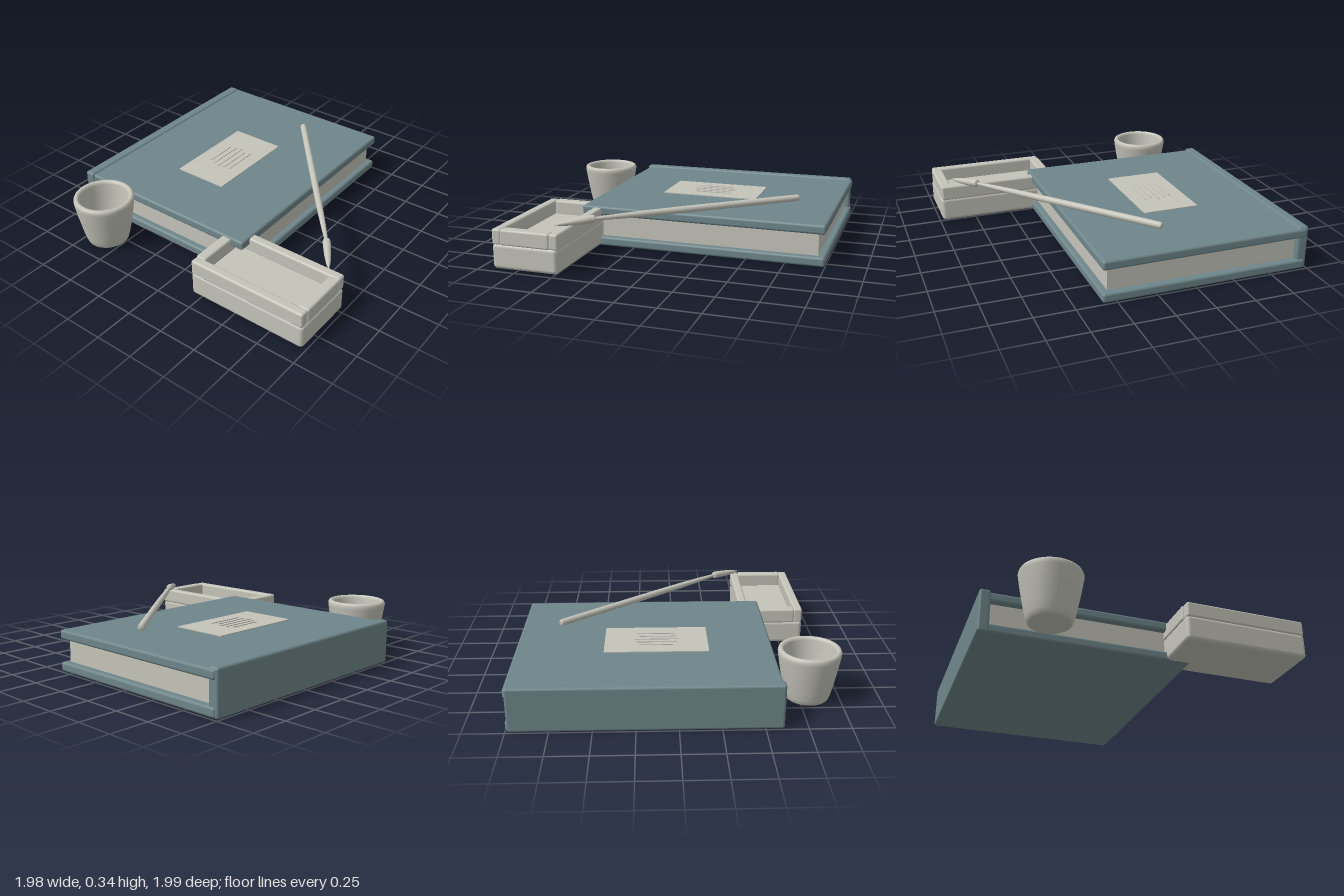
import * as THREE from 'three';
import { RoundedBoxGeometry } from 'three/addons/geometries/RoundedBoxGeometry.js';

export function createModel() {
  const root = new THREE.Group();
  const cover = new THREE.MeshStandardMaterial({ color: 0x6f868a });
  cover.name = 'slate teal';
  const pale = new THREE.MeshStandardMaterial({ color: 0xc4c4ba });
  pale.name = 'warm pale grey';

  function add(parent, name, geometry, material) {
    const mesh = new THREE.Mesh(geometry, material);
    mesh.name = name;
    parent.add(mesh);
    return mesh;
  }

  // Box given by its extents along x, y and z; r > 0 rounds the edges
  function block(parent, name, [x0, x1], [y0, y1], [z0, z1], material, r = 0) {
    const size = [x1 - x0, y1 - y0, z1 - z0];
    const geometry = r ? new RoundedBoxGeometry(...size, 3, r) : new THREE.BoxGeometry(...size);
    const mesh = add(parent, name, geometry, material);
    mesh.position.set((x0 + x1) / 2, (y0 + y1) / 2, (z0 + z1) / 2);
    return mesh;
  }

  function part(name) {
    const group = new THREE.Group();
    group.name = name;
    root.add(group);
    return group;
  }

  // Book: two covers, page block and spine
  const book = part('book');
  block(book, 'bottomCover', [-0.98, 0.34], [0.005, 0.065], [-1, 0.6], cover, 0.016);
  block(book, 'topCover', [-0.98, 0.34], [0.21, 0.27], [-1, 0.6], cover, 0.016);
  block(book, 'spine', [-0.995, -0.925], [0, 0.28], [-0.99, 0.61], cover, 0.016);
  block(book, 'pages', [-0.95, 0.3], [0.05, 0.22], [-0.955, 0.56], pale);

  // Label with five thin brush strokes
  block(book, 'label', [-0.51, -0.14], [0.268, 0.276], [-0.45, 0.2], pale);
  const strokes = [[-0.41, -0.23, -0.02], [-0.367, -0.25, 0], [-0.324, -0.265, 0.02],
    [-0.281, -0.23, 0], [-0.238, -0.25, 0]];
  for (const [x, z0, z1] of strokes) {
    block(book, 'stroke', [x - 0.006, x + 0.006], [0.275, 0.281], [z0, z1], pale);
  }

  // Tray: solid base, four rim walls and a floor plate
  const tray = part('tray');
  block(tray, 'trayBase', [0.185, 0.985], [0.01, 0.17], [0.47, 0.9], pale, 0.025);
  block(tray, 'frontWall', [0.19, 0.98], [0.16, 0.26], [0.84, 0.9], pale, 0.014);
  block(tray, 'backWall', [0.19, 0.98], [0.16, 0.26], [0.465, 0.525], pale, 0.014);
  block(tray, 'rightWall', [0.183, 0.253], [0.16, 0.26], [0.52, 0.845], pale, 0.014);
  block(tray, 'leftWall', [0.913, 0.983], [0.16, 0.26], [0.52, 0.845], pale, 0.014);
  block(tray, 'floorPlate', [0.29, 0.88], [0.168, 0.177], [0.545, 0.815], pale);

  // Cup: turned profile running up the outside and down the inside
  const profile = [[0, 0.008], [0.12, 0.008], [0.132, 0.016], [0.142, 0.045], [0.155, 0.1],
    [0.178, 0.22], [0.191, 0.3], [0.193, 0.32], [0.187, 0.335], [0.175, 0.34], [0.162, 0.335],
    [0.156, 0.32], [0.15, 0.25], [0.137, 0.15], [0.12, 0.09], [0.09, 0.062], [0, 0.05]];
  const cup = add(root, 'cup', new THREE.LatheGeometry(
    profile.map(([r, y]) => new THREE.Vector2(r, y)), 48), pale);
  cup.position.set(-0.62, 0, 0.8);

  // Turned piece lying between two points; profile gives [radius, fraction of length]
  function turned(parent, name, from, to, points) {
    const a = new THREE.Vector3(...from);
    const direction = new THREE.Vector3(...to).sub(a);
    const length = direction.length();
    const mesh = add(parent, name, new THREE.LatheGeometry(
      points.map(([r, t]) => new THREE.Vector2(r, t * length)), 20), pale);
    mesh.position.copy(a);
    mesh.quaternion.setFromUnitVectors(new THREE.Vector3(0, 1, 0), direction.normalize());
  }

  // Brush resting across the book and the tray
  const brush = part('brush');
  turned(brush, 'brushHandle', [-0.13, 0.313, -0.747], [0.77, 0.313, 0.335],
    [[0, 0], [0.016, 0], [0.021, 0.006], [0.022, 0.05], [0.022, 0.55], [0.02, 0.75],
      [0.016, 0.88], [0.01, 1], [0, 1]]);
  turned(brush, 'brushTip', [0.757, 0.315, 0.318], [0.905, 0.294, 0.522],
    [[0, 0], [0.02, 0], [0.024, 0.04], [0.024, 0.2], [0.021, 0.5], [0.013, 0.8], [0, 1]]);

  return root;
}
